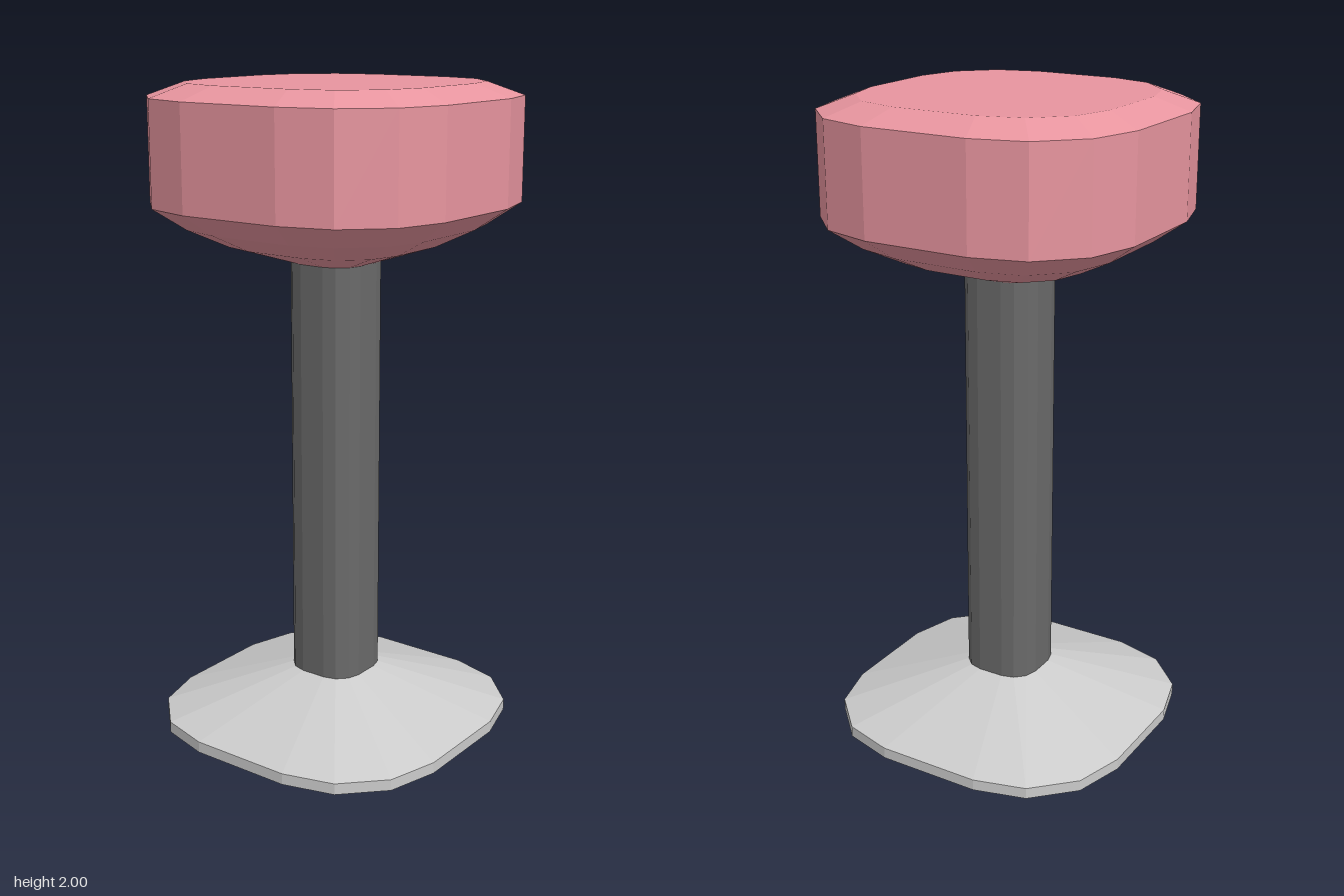
import * as THREE from 'three';

// Rounded-square outline: one quadrant (x, z), from front to left side, turned four times
const quadrant = [[0.165, 0.49], [0.325, 0.445], [0.445, 0.325], [0.49, 0.165]];
const outline = [];
for (let q = 0, pts = quadrant; q < 4; q++, pts = pts.map(([x, z]) => [z, -x])) outline.push(...pts);
const N = outline.length;

// Stack scaled outlines, given as [half width, y] from bottom to top; keep(ring, side) selects faces
function loft(rings, { bottom = false, top = false, keep = () => true } = {}) {
  const pos = [];
  const point = ([w, y], i) => {
    const [x, z] = outline[i % N];
    return [x * w / 0.49, y, z * w / 0.49];
  };
  const tri = (a, b, c) => pos.push(...a, ...b, ...c);
  const first = rings[0], last = rings[rings.length - 1];
  for (let i = 0; i < N; i++) {
    for (let r = 0; r < rings.length - 1; r++) {
      if (!keep(r, i)) continue;
      const a = point(rings[r], i), b = point(rings[r], i + 1);
      const c = point(rings[r + 1], i + 1), d = point(rings[r + 1], i);
      tri(a, b, c);
      tri(a, c, d);
    }
    if (bottom) tri([0, first[1], 0], point(first, i + 1), point(first, i));
    if (top) tri([0, last[1], 0], point(last, i), point(last, i + 1));
  }
  const geometry = new THREE.BufferGeometry();
  geometry.setAttribute('position', new THREE.Float32BufferAttribute(pos, 3));
  geometry.computeVertexNormals();
  return geometry;
}

export function createModel() {
  const group = new THREE.Group();
  group.name = 'stool';
  const material = (color) => new THREE.MeshStandardMaterial({ color, flatShading: true });
  const pink = material(0xe8959f), dark = material(0x6a6a6a), grey = material(0xcccccc);
  const add = (name, geometry, mat) => {
    const mesh = new THREE.Mesh(geometry, mat);
    mesh.name = name;
    group.add(mesh);
  };

  // Flared foot and straight post
  add('base', loft([[0.485, 0], [0.485, 0.035], [0.12, 0.17]], { bottom: true }), grey);
  add('post', loft([[0.12, 0.17], [0.12, 1.475]]), dark);

  // Cushion: bowl underside, upright sides, bevelled top; one underside facet takes the post colour
  const seat = [[0.12, 1.475], [0.29, 1.53], [0.4, 1.585], [0.49, 1.65], [0.49, 1.96], [0.39, 2]];
  const isDark = (r, i) => r === 0 && i === 6;
  add('seat', loft(seat, { top: true, keep: (r, i) => !isDark(r, i) }), pink);
  add('seatUndersideFacet', loft(seat, { keep: isDark }), dark);
  return group;
}
